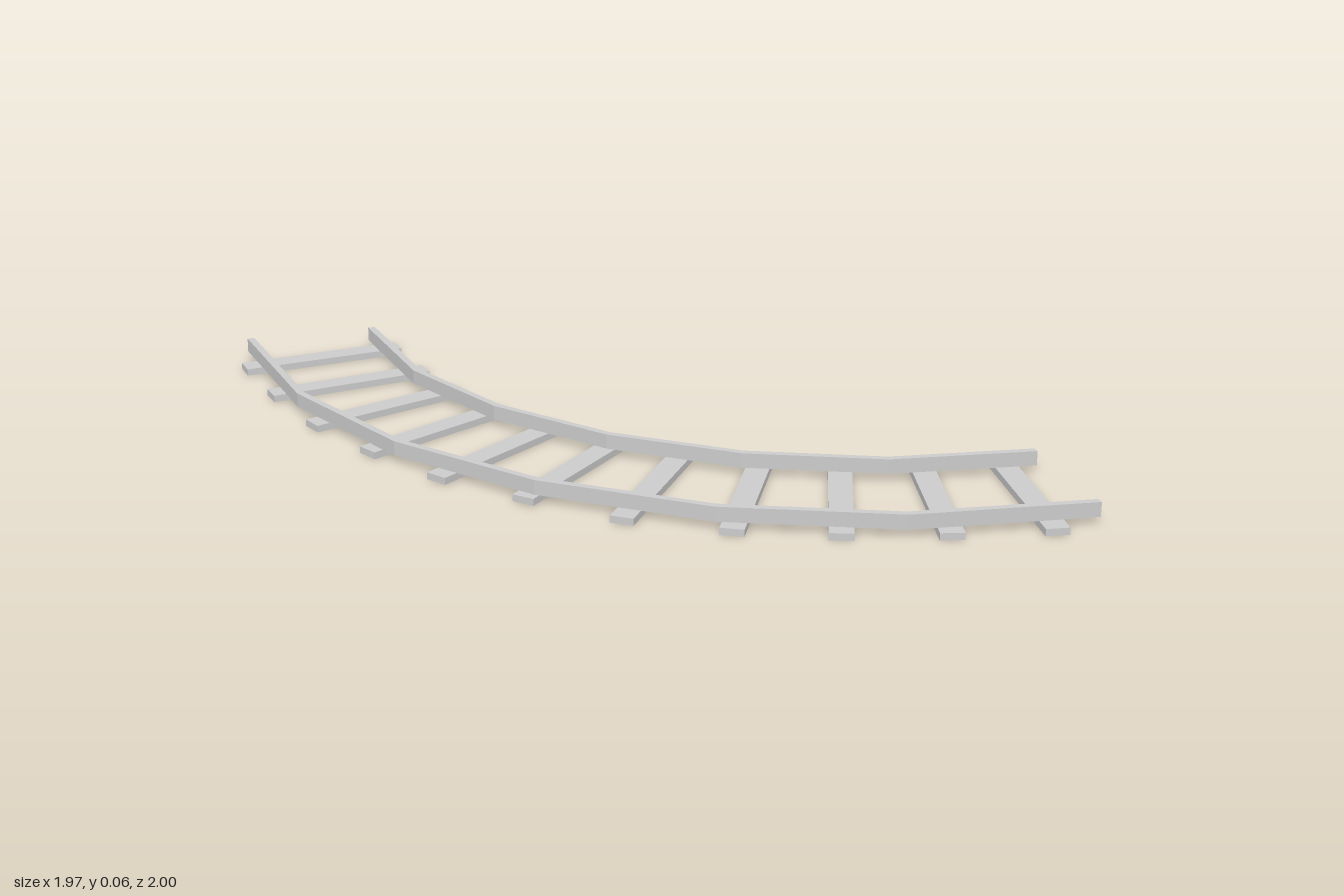
import * as THREE from 'three';

const material = new THREE.MeshStandardMaterial({ color: 0xcccccc, flatShading: true });
const SLEEPER_H = 0.02, RAIL_H = 0.042, RAIL_W = 0.021;

// Rail centre lines as [x, z], from the back end round to the left end
const outerPath = [[-0.937, -1], [-0.868, -0.46], [-0.674, 0], [-0.376, 0.384],
  [0.02, 0.691], [0.476, 0.882], [0.985, 0.946]];
const innerPath = [[-0.557, -1], [-0.503, -0.562], [-0.344, -0.196], [-0.1, 0.115],
  [0.211, 0.356], [0.576, 0.512], [0.985, 0.57]];

// Sleepers as [x, z, turn in degrees]
const sleepers = [[-0.733, -0.894, 7.4], [-0.693, -0.645, 9.9], [-0.63, -0.402, 20.4],
  [-0.529, -0.177, 27.7], [-0.402, 0.04, 34.9], [-0.235, 0.228, 42.8], [-0.058, 0.405, 53.5],
  [0.161, 0.54, 61.7], [0.39, 0.635, 69.1], [0.632, 0.704, 76.6], [0.878, 0.749, 82.5]];

// Rectangular bar swept along straight segments with mitred joints
function makeRail(name, path) {
  const pts = path.map(([x, z]) => new THREE.Vector2(x, -z));
  const normals = pts.slice(1).map((p, i) => {
    const d = p.clone().sub(pts[i]).normalize();
    return new THREE.Vector2(-d.y, d.x);
  });
  const offset = (side) => pts.map((p, i) => {
    const a = normals[Math.max(i - 1, 0)], b = normals[Math.min(i, normals.length - 1)];
    // the two ends are cut square to the axes
    let m = a.clone().add(b).normalize();
    if (i === 0) m = new THREE.Vector2(1, 0);
    if (i === pts.length - 1) m = new THREE.Vector2(0, 1);
    return p.clone().addScaledVector(m, side * RAIL_W / 2 / m.dot(b));
  });
  const shape = new THREE.Shape([...offset(-1), ...offset(1).reverse()]);
  const geometry = new THREE.ExtrudeGeometry(shape, { depth: RAIL_H, bevelEnabled: false });
  geometry.rotateX(-Math.PI / 2);
  const rail = new THREE.Mesh(geometry, material);
  rail.name = name;
  rail.position.y = SLEEPER_H;
  return rail;
}

export function createModel() {
  const track = new THREE.Group();
  track.name = 'curvedTrack';

  // Two rails
  track.add(makeRail('outerRail', outerPath), makeRail('innerRail', innerPath));

  // Cross sleepers fanned around the bend
  const plank = new THREE.BoxGeometry(0.493, SLEEPER_H, 0.066);
  sleepers.forEach(([x, z, deg], i) => {
    const sleeper = new THREE.Mesh(plank, material);
    sleeper.name = `sleeper${i + 1}`;
    sleeper.position.set(x, SLEEPER_H / 2, z);
    sleeper.rotation.y = THREE.MathUtils.degToRad(deg);
    track.add(sleeper);
  });
  return track;
}
